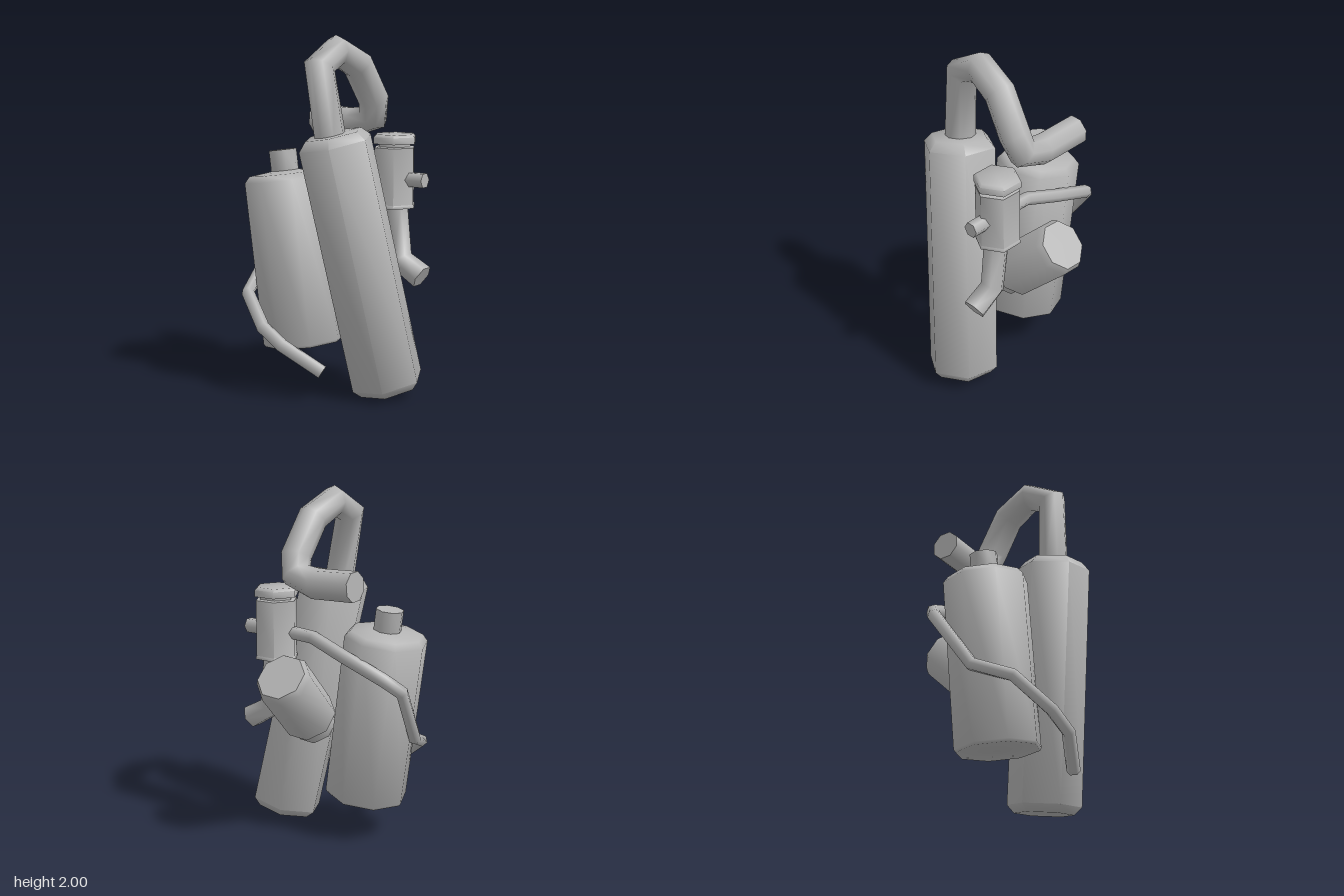
import * as THREE from 'three';
import { toCreasedNormals } from 'three/addons/utils/BufferGeometryUtils.js';

const V = (p) => new THREE.Vector3(...p);
const UP = new THREE.Vector3(0, 1, 0);

// Straight-segment path with one ring at each corner
class Polyline extends THREE.Curve {
  constructor(points) {
    super();
    this.points = points.map(V);
  }
  getPoint(t, target = new THREE.Vector3()) {
    const n = this.points.length - 1;
    const i = Math.min(Math.floor(t * n + 1e-6), n - 1);
    return target.lerpVectors(this.points[i], this.points[i + 1], t * n - i);
  }
  getPointAt(t, target) {
    return this.getPoint(t, target);
  }
  getTangentAt(t, target = new THREE.Vector3()) {
    const p = this.points, n = p.length - 1, i = Math.round(t * n);
    target.set(0, 0, 0);
    if (i > 0) target.add(p[i].clone().sub(p[i - 1]).normalize());
    if (i < n) target.add(p[i + 1].clone().sub(p[i]).normalize());
    return target.normalize();
  }
}

export function createModel() {
  const model = new THREE.Group();
  model.name = 'canisterAssembly';
  const grey = new THREE.MeshStandardMaterial({ color: 0xb4b4b4 });
  grey.name = 'grey metal';

  const add = (name, geometry, parent = model) => {
    const mesh = new THREE.Mesh(geometry, grey);
    mesh.name = name;
    parent.add(mesh);
    return mesh;
  };

  // Turned solid along the axis from a to b; profile is [radius, distance from a]
  function turned(name, a, b, sides, profile, phase = 0) {
    const points = profile.map(([r, h]) => new THREE.Vector2(r, h));
    const geometry = toCreasedNormals(new THREE.LatheGeometry(points, sides, phase), 1.1);
    const mesh = add(name, geometry);
    mesh.position.copy(V(a));
    mesh.quaternion.setFromUnitVectors(UP, V(b).sub(V(a)).normalize());
    return mesh;
  }

  // Bent pipe with closed ends
  function pipe(name, points, radius, sides = 6) {
    const group = new THREE.Group();
    group.name = name;
    model.add(group);
    const curve = new Polyline(points);
    const n = points.length - 1;
    const tube = new THREE.TubeGeometry(curve, n, radius, sides, false);
    add(name + 'Wall', tube, group);
    // End caps reuse the first and last ring of the wall
    const pos = tube.attributes.position;
    for (const end of [0, n]) {
      const ring = [];
      for (let j = 0; j < sides; j++) {
        ring.push(new THREE.Vector3().fromBufferAttribute(pos, end * (sides + 1) + j));
      }
      const out = curve.getTangentAt(end / n).multiplyScalar(end ? 1 : -1);
      const turn = ring[1].clone().sub(ring[0]).cross(ring[2].clone().sub(ring[0]));
      if (turn.dot(out) < 0) ring.reverse();
      const corners = [];
      for (let j = 1; j < sides - 1; j++) corners.push(ring[0], ring[j], ring[j + 1]);
      const cap = new THREE.BufferGeometry().setFromPoints(corners);
      cap.computeVertexNormals();
      add(name + 'Cap', cap, group);
    }
  }

  // Tall leaning six-sided tank
  turned('tallTank', [0.365, 0.04, 0.055], [0.14, 1.475, 0.275], 6, [
    [0, 0], [0.17, 0], [0.212, 0.045], [0.212, 1.42], [0.165, 1.47], [0, 1.47],
  ], Math.PI / 2 - 0.08);

  // Short eight-sided tank with filler neck
  turned('shortTank', [-0.19, 0.235, 0.1], [-0.325, 1.22, 0.1], 8, [
    [0, 0], [0.23, 0], [0.24, 0.015], [0.24, 0.955], [0.21, 0.99],
    [0.08, 1.005], [0.08, 1.125], [0, 1.125],
  ]);

  // Large looping pipe from the tall tank
  pipe('loopPipe', [
    [0.13, 1.42, 0.28], [0.075, 1.84, 0.31], [0.08, 1.92, 0.16], [0.105, 1.84, -0.01],
    [0.125, 1.64, -0.14], [0.1, 1.54, -0.175], [-0.04, 1.505, -0.185], [-0.305, 1.515, -0.19],
  ], 0.087, 8);

  // Valve body with flange and hexagonal cap
  turned('valve', [0.265, 1.04, -0.145], [0.265, 1.45, -0.145], 6, [
    [0, 0], [0.13, 0], [0.13, 0.012], [0.125, 0.02], [0.125, 0.34], [0.1, 0.345],
    [0.1, 0.36], [0.132, 0.362], [0.132, 0.4], [0.115, 0.415], [0, 0.415],
  ], Math.PI / 6);

  // Valve outlets
  pipe('valveStub', [[0.3, 1.203, -0.143], [0.468, 1.203, -0.143]], 0.045);
  pipe('valveOutlet', [
    [0.27, 1.06, -0.143], [0.31, 0.74, -0.143], [0.455, 0.655, -0.143],
  ], 0.072);

  // Tilted rear canister with stepped inner end
  turned('rearCanister', [0.075, 0.64, -0.03], [0.03, 1.015, -0.415], 8, [
    [0, 0], [0.125, 0], [0.125, 0.1], [0.16, 0.102], [0.16, 0.5], [0.14, 0.54], [0, 0.54],
  ], Math.PI / 8);

  // Thin hose wrapping around the short tank
  pipe('hose', [
    [0.2, 1.2, -0.14], [0.02, 1.185, -0.13], [-0.2, 1.11, -0.15], [-0.47, 1.01, -0.145],
    [-0.545, 0.94, -0.085], [-0.5, 0.62, 0.13], [-0.42, 0.54, 0.335], [-0.22, 0.39, 0.45],
    [-0.075, 0.31, 0.465], [0.135, 0.17, 0.375],
  ], 0.038);

  return model;
}
